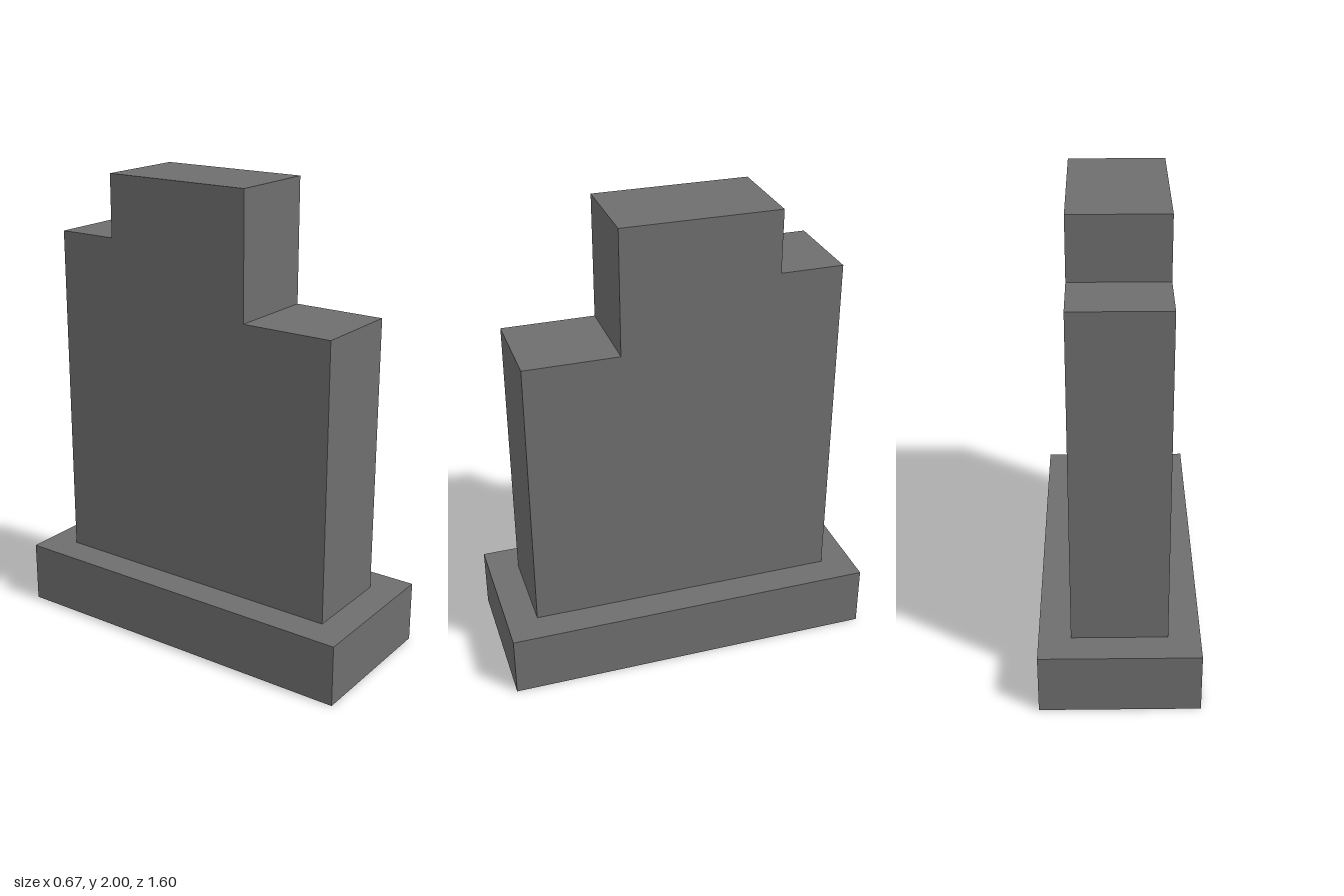
import * as THREE from 'three';

export function createModel() {
  const model = new THREE.Group();
  model.name = 'steppedMonument';
  const stone = new THREE.MeshStandardMaterial({ color: 0x6e6e6e });
  stone.name = 'grey stone';

  // Plinth
  const baseHeight = 0.267;
  const base = new THREE.Mesh(new THREE.BoxGeometry(0.667, baseHeight, 1.6), stone);
  base.name = 'base';
  base.position.y = baseHeight / 2;
  model.add(base);

  // Upright slab: stepped side profile as (z, y), extruded across x
  const width = 0.4;
  const profile = [
    [-0.667, baseHeight], [0.667, baseHeight], [0.667, 1.467], [0.267, 1.467],
    [0.267, 2], [-0.4, 2], [-0.4, 1.733], [-0.667, 1.733],
  ].map(([z, y]) => new THREE.Vector2(z, y));
  const slabGeometry = new THREE.ExtrudeGeometry(new THREE.Shape(profile), { depth: width, bevelEnabled: false });
  slabGeometry.translate(0, 0, -width / 2).rotateY(-Math.PI / 2);
  const slab = new THREE.Mesh(slabGeometry, stone);
  slab.name = 'steppedSlab';
  model.add(slab);

  return model;
}
